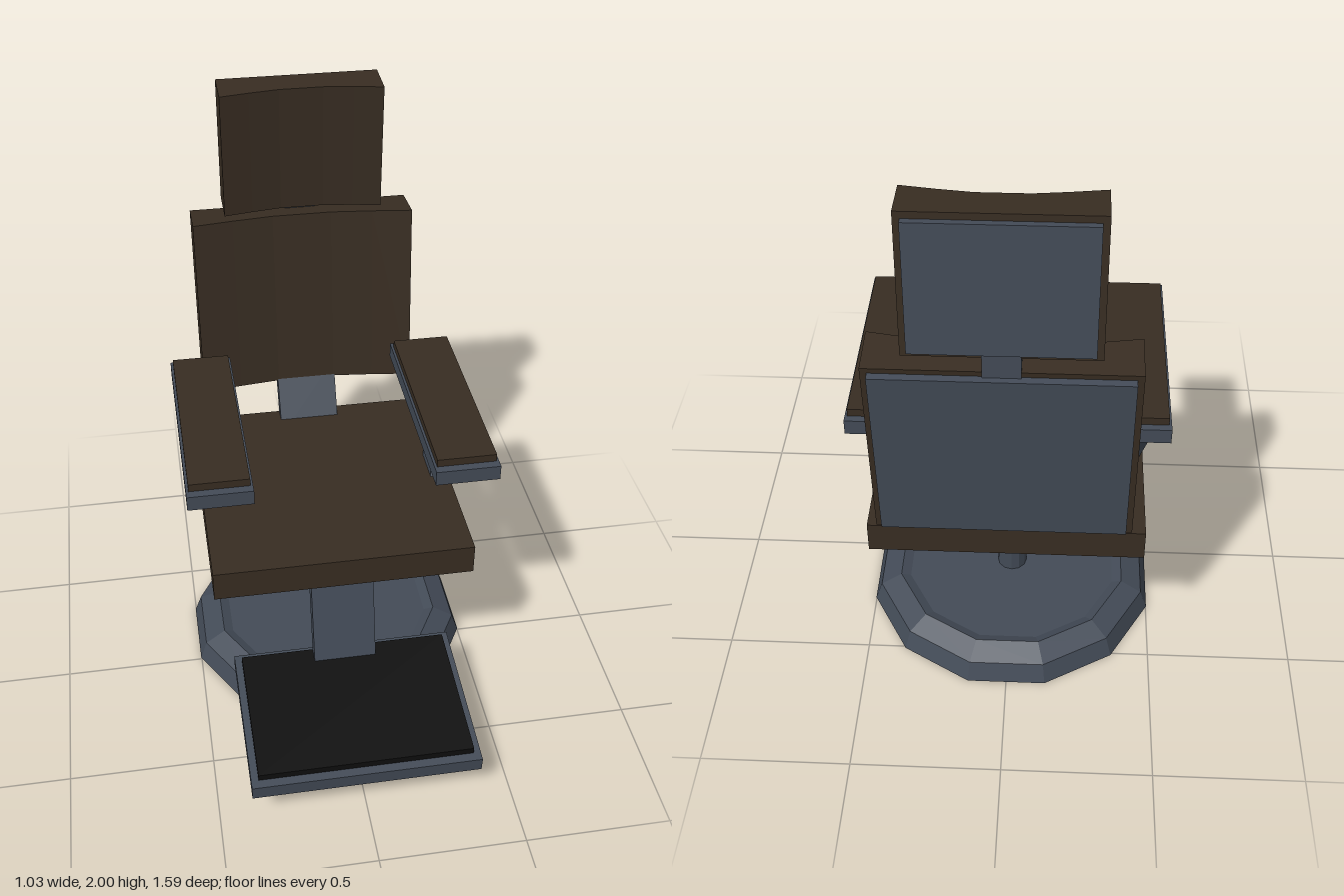
import * as THREE from 'three';

const metal = new THREE.MeshStandardMaterial({ color: 0x434b57, flatShading: true });
metal.name = 'slate metal';
const leather = new THREE.MeshStandardMaterial({ color: 0x382d22, flatShading: true });
leather.name = 'brown leather';
const rubber = new THREE.MeshStandardMaterial({ color: 0x0e0e0e, flatShading: true });
rubber.name = 'black rubber';

function add(parent, name, geometry, material) {
  const mesh = new THREE.Mesh(geometry, material);
  mesh.name = name;
  parent.add(mesh);
  return mesh;
}

// Box given by its minimum and maximum corners
function block(parent, name, material, [x0, y0, z0], [x1, y1, z1]) {
  const g = new THREE.BoxGeometry(x1 - x0, y1 - y0, z1 - z0);
  g.translate((x0 + x1) / 2, (y0 + y1) / 2, (z0 + z1) / 2);
  return add(parent, name, g, material);
}

// Slanted bar: level ends of size w x d, centred on the points a and b
function slantedBar(parent, name, w, d, a, b) {
  const g = new THREE.BoxGeometry(w, 1, d);
  const p = g.attributes.position;
  for (let i = 0; i < p.count; i++) {
    const end = p.getY(i) > 0 ? b : a;
    p.setXYZ(i, p.getX(i) + end[0], end[1], p.getZ(i) + end[2]);
  }
  g.computeVertexNormals();
  return add(parent, name, g, metal);
}

// Cushion with a hollowed front; its lower front edge is at the origin
function cushion(parent, name, half, height, depth, hollow) {
  const s = new THREE.Shape();
  s.moveTo(-half, 0);
  s.lineTo(-half * 0.64, hollow * 0.55);
  s.lineTo(-half * 0.27, hollow);
  s.lineTo(half * 0.27, hollow);
  s.lineTo(half * 0.64, hollow * 0.55);
  s.lineTo(half, 0);
  s.lineTo(half, depth);
  s.lineTo(-half, depth);
  s.closePath();
  const g = new THREE.ExtrudeGeometry(s, { depth: height, bevelEnabled: false });
  g.rotateX(-Math.PI / 2);
  return add(parent, name, g, leather);
}

function tilted(parent, name, y, z, angle) {
  const g = new THREE.Group();
  g.name = name;
  g.position.set(0, y, z);
  g.rotation.x = angle;
  parent.add(g);
  return g;
}

export function createModel() {
  const chair = new THREE.Group();
  chair.name = 'reclining chair';

  // Twelve-sided dished base and pole
  const profile = [
    [0, 0.015], [0.4, 0.015], [0.42, 0], [0.52, 0], [0.495, 0.07],
    [0.42, 0.105], [0.385, 0.09], [0, 0.09],
  ].map(([r, y]) => new THREE.Vector2(r, y));
  const base = add(chair, 'base', new THREE.LatheGeometry(profile, 12, Math.PI / 12), metal);
  base.position.z = -0.14;
  const pole = add(chair, 'pole', new THREE.CylinderGeometry(0.053, 0.053, 0.47, 12), metal);
  pole.position.set(0, 0.32, -0.14);

  // Seat
  block(chair, 'seatFrame', metal, [-0.39, 0.54, -0.53], [0.39, 0.6, 0.25]);
  block(chair, 'seatCushion', leather, [-0.45, 0.595, -0.59], [0.45, 0.705, 0.31]);

  // Footrest
  slantedBar(chair, 'footrestStrut', 0.22, 0.055, [0, 0.2, 0.308], [0, 0.56, 0.22]);
  const foot = tilted(chair, 'footrest', 0.184, 0.512, 0.089);
  block(foot, 'footPlate', metal, [-0.39, -0.0275, -0.28], [0.39, 0.0275, 0.28]);
  block(foot, 'footPad', rubber, [-0.365, 0.0275, -0.25], [0.365, 0.053, 0.25]);

  // Armrests
  for (const side of [-1, 1]) {
    const arm = new THREE.Group();
    arm.name = side > 0 ? 'leftArmrest' : 'rightArmrest';
    chair.add(arm);
    const plate = block(arm, 'armPlate', metal, [-0.1085, 0.995, -0.475], [0.1085, 1.048, 0.31]);
    const pad = block(arm, 'armPad', leather, [-0.1, 1.048, -0.45], [0.1, 1.075, 0.28]);
    plate.position.x = pad.position.x = side * 0.407;
    slantedBar(arm, 'armStrut', 0.056, 0.13, [side * 0.411, 0.7, -0.155], [side * 0.443, 1, -0.345]);
  }

  // Backrest
  slantedBar(chair, 'backStrut', 0.22, 0.06, [0, 0.65, -0.535], [0, 0.9, -0.655]);
  const back = tilted(chair, 'backrest', 0.847, -0.56, -0.089);
  cushion(back, 'backCushion', 0.395, 0.672, 0.152, 0.04);
  block(back, 'backPanel', metal, [-0.375, 0.02, -0.176], [0.375, 0.655, -0.15]);

  // Headrest and its link to the back
  block(chair, 'headLink', metal, [-0.055, 1.44, -0.775], [0.055, 1.62, -0.727]);
  const head = tilted(chair, 'headrest', 1.543, -0.627, 0.047);
  cushion(head, 'headCushion', 0.28, 0.451, 0.14, 0.03);
  block(head, 'headPanel', metal, [-0.26, 0.02, -0.161], [0.26, 0.43, -0.138]);

  return chair;
}
